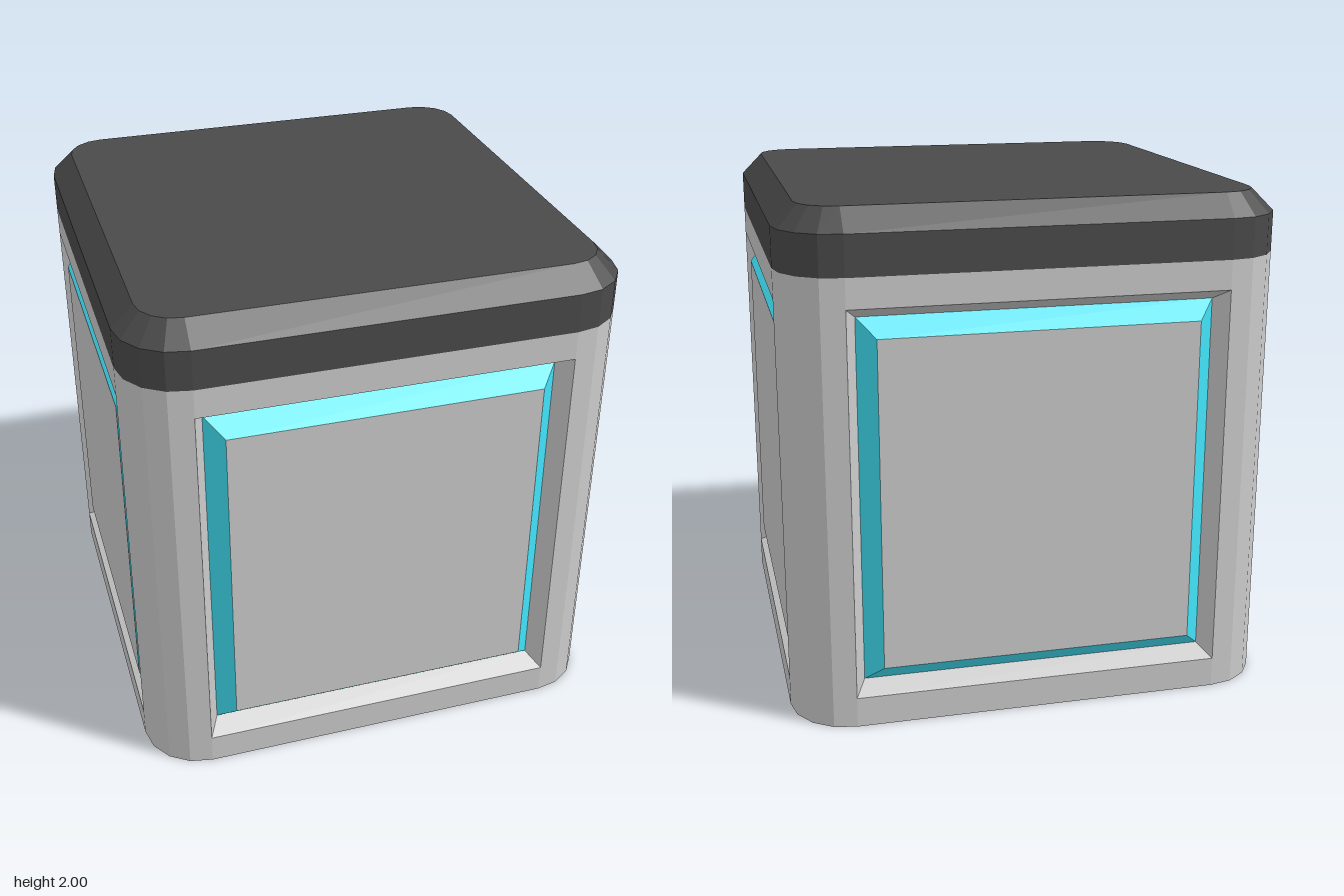
import * as THREE from 'three';

const HALF = 0.96, FLAT = 0.725, BODY_TOP = 1.76, SEGS = 4;

const grey = new THREE.MeshStandardMaterial({ color: 0xcccccc, flatShading: true });
const dark = new THREE.MeshStandardMaterial({ color: 0x4a4a4a, flatShading: true });
const cyan = new THREE.MeshStandardMaterial({ color: 0x42e2f8, flatShading: true });

// Mesh from polygons (corners counter-clockwise seen from outside)
function polyMesh(name, polys, material) {
  const pos = [];
  for (const p of polys)
    for (let i = 1; i < p.length - 1; i++) pos.push(...p[0], ...p[i], ...p[i + 1]);
  const geo = new THREE.BufferGeometry();
  geo.setAttribute('position', new THREE.Float32BufferAttribute(pos, 3));
  geo.computeVertexNormals();
  const mesh = new THREE.Mesh(geo, material);
  mesh.name = name;
  return mesh;
}

// Rounded square at height y, running from +z towards +x
function outline(half, flat, y) {
  const pts = [];
  for (let k = 0; k < 4; k++) {
    const mid = (k + 0.5) * Math.PI / 2;
    const cx = Math.sign(Math.sin(mid)) * flat, cz = Math.sign(Math.cos(mid)) * flat;
    for (let i = 0; i <= SEGS; i++) {
      const a = (k + i / SEGS) * Math.PI / 2;
      pts.push([cx + (half - flat) * Math.sin(a), y, cz + (half - flat) * Math.cos(a)]);
    }
  }
  return pts;
}

const rect = (x, y0, y1, z) => [[-x, y0, z], [x, y0, z], [x, y1, z], [-x, y1, z]];

// Quads joining two loops of points
const bridge = (a, b) => a.map((p, i) => {
  const j = (i + 1) % a.length;
  return [p, a[j], b[j], b[i]];
});

// One side: wall strips, rounded corner, sunken surround and raised panel
function createSide() {
  const side = new THREE.Group();
  const wall = [rect(FLAT, 0, 0.12, HALF), rect(FLAT, 1.645, BODY_TOP, HALF)];
  const low = outline(HALF, FLAT, 0), high = outline(HALF, FLAT, BODY_TOP);
  for (let i = 0; i < SEGS; i++) wall.push([low[i], low[i + 1], high[i + 1], high[i]]);

  const opening = rect(FLAT, 0.12, 1.645, HALF);
  const groove = rect(0.683, 0.16, 1.6, HALF - 0.08);
  const face = rect(0.615, 0.23, 1.53, HALF - 0.01);
  side.add(
    polyMesh('wall', wall, grey),
    polyMesh('recess', bridge(opening, groove), grey),
    polyMesh('glowingTrim', bridge(groove, face), cyan),
    polyMesh('panel', [face], grey)
  );
  return side;
}

export function createModel() {
  const model = new THREE.Group();
  model.name = 'panelledCrate';

  for (let k = 0; k < 4; k++) {
    const side = createSide();
    side.name = ['frontSide', 'leftSide', 'backSide', 'rightSide'][k];
    side.rotation.y = k * Math.PI / 2;
    model.add(side);
  }

  // Underside
  model.add(polyMesh('base', [outline(HALF, FLAT, 0).reverse()], grey));

  // Lid with a chamfered rim
  const bottom = outline(HALF, FLAT, BODY_TOP);
  const rim = outline(HALF, FLAT, 1.915);
  const top = outline(0.875, FLAT, 2);
  model.add(polyMesh('lid', [
    ...bridge(bottom, rim), ...bridge(rim, top), top, [...bottom].reverse()
  ], dark));

  return model;
}
